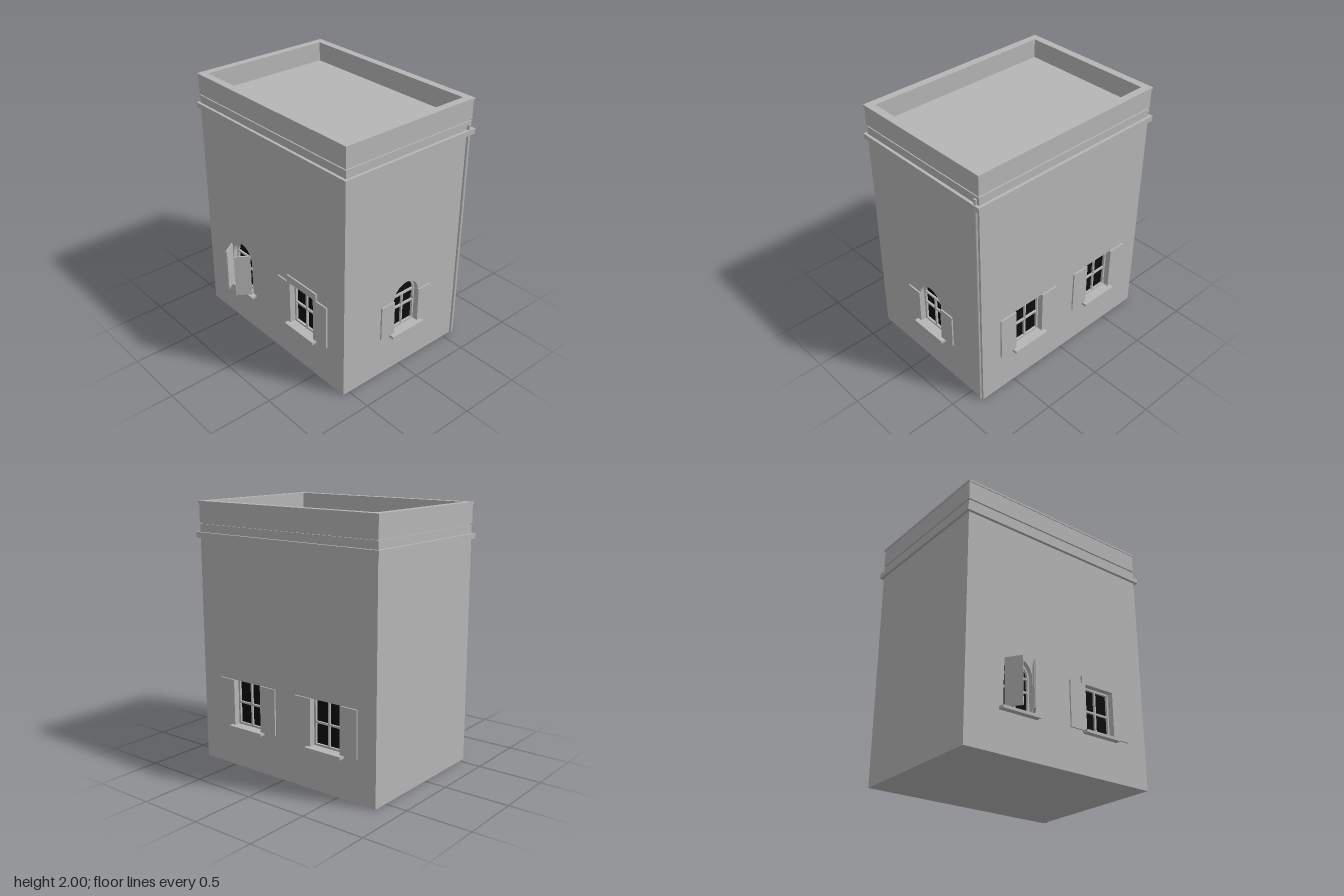
import * as THREE from 'three';

const stone = new THREE.MeshStandardMaterial({ color: 0xb6b6b6 });
stone.name = 'grey stone';
const dark = new THREE.MeshStandardMaterial({ color: 0x0d0d0d });
dark.name = 'dark glass';

// Building footprint and wall thickness
const X0 = -0.555, X1 = 0.62, Z0 = -0.825, Z1 = 0.805, T = 0.06;
const CX = (X0 + X1) / 2, CZ = (Z0 + Z1) / 2, W = X1 - X0, D = Z1 - Z0;
const SILL = 0.325, WALL_TOP = 1.83;

function mesh(parent, name, geometry, material = stone) {
  const m = new THREE.Mesh(geometry, material);
  m.name = name;
  parent.add(m);
  return m;
}

// Box given by its lower and upper corners
function box(parent, name, a, b, material) {
  const m = mesh(parent, name, new THREE.BoxGeometry(b[0] - a[0], b[1] - a[1], b[2] - a[2]), material);
  m.position.set((a[0] + b[0]) / 2, (a[1] + b[1]) / 2, (a[2] + b[2]) / 2);
  return m;
}

function rectangle(target, x0, y0, x1, y1) {
  return target.moveTo(x0, y0).lineTo(x1, y0).lineTo(x1, y1).lineTo(x0, y1).closePath();
}

// Window outline, either square headed or with a round arch
function outline(target, w, inset = 0) {
  const h = w.half - inset, y0 = SILL + inset;
  if (!w.arch) return rectangle(target, w.u - h, y0, w.u + h, w.top - inset);
  target.moveTo(w.u - h, y0).lineTo(w.u + h, y0).lineTo(w.u + h, w.top);
  target.absarc(w.u, w.top, h, 0, Math.PI, false);
  return target.closePath();
}

function extrude(shape, depth) {
  return new THREE.ExtrudeGeometry(shape, { depth, bevelEnabled: false, curveSegments: 14 });
}

// One window in wall space: u along the wall, y up, outer wall face at z = 0
function addWindow(wall, w) {
  const g = new THREE.Group();
  g.name = 'window';
  wall.add(g);
  mesh(g, 'pane', new THREE.ShapeGeometry(outline(new THREE.Shape(), w), 14), dark).position.z = -0.052;

  const ring = outline(new THREE.Shape(), w);
  ring.holes.push(outline(new THREE.Path(), w, 0.015));
  mesh(g, 'frame', extrude(ring, 0.018)).position.z = -0.052;

  // Glazing bars
  const crown = w.arch ? w.top + w.half : w.top;
  box(g, 'uprightBar', [w.u - 0.007, SILL, -0.052], [w.u + 0.007, w.arch ? w.top : crown, -0.036]);
  const bars = w.arch ? [0.5, w.top] : [0.5];
  for (const y of bars) box(g, 'crossBar', [w.u - w.half, y - 0.007, -0.052], [w.u + w.half, y + 0.007, -0.036]);

  box(g, 'sill', [w.u - 0.16, 0.303, -0.05], [w.u + 0.16, SILL, 0.046]);
  if (w.lintel) box(g, 'lintel', [w.u - 0.165, w.top, 0], [w.u + 0.165, 0.74, 0.012]);

  // Pair of shutters, folded flat or half closed
  for (const s of [-1, 1]) {
    const hinge = new THREE.Group();
    hinge.name = 'shutterHinge';
    hinge.position.set(w.u + s * w.half, 0, w.ajar ? 0.012 : 0.006);
    hinge.rotation.y = w.ajar ? s * (Math.PI + 0.97) : 0;
    const far = s * w.leaf;
    box(hinge, 'shutter', [Math.min(0, far), SILL, -0.006], [Math.max(0, far), w.shutterTop, 0.006]);
    g.add(hinge);
  }
}

// Wall with real openings, its outer face at local z = 0
function addWall(root, name, u0, u1, windows, position, turn) {
  const wall = new THREE.Group();
  wall.name = name;
  const shape = rectangle(new THREE.Shape(), u0, 0, u1, WALL_TOP);
  for (const w of windows) shape.holes.push(outline(new THREE.Path(), w));
  mesh(wall, name + 'Panel', extrude(shape, T)).position.z = -T;
  for (const w of windows) addWindow(wall, w);
  wall.position.set(...position);
  wall.rotation.y = turn;
  root.add(wall);
}

// Rectangular ring around the building; out and inn are offsets from the wall face
function addRing(root, name, y0, y1, out, inn) {
  const s = rectangle(new THREE.Shape(), X0 - out, -Z1 - out, X1 + out, -Z0 + out);
  s.holes.push(rectangle(new THREE.Path(), X0 + inn, -Z1 + inn, X1 - inn, -Z0 - inn));
  const m = mesh(root, name, extrude(s, y1 - y0));
  m.rotation.x = -Math.PI / 2;
  m.position.y = y0;
}

export function createModel() {
  const root = new THREE.Group();
  root.name = 'townHouse';

  const square = { half: 0.132, top: 0.68, shutterTop: 0.68, leaf: 0.145 };
  const arched = { half: 0.122, top: 0.6, shutterTop: 0.605, leaf: 0.128, arch: true };

  // Four walls
  addWall(root, 'frontWall', X0, X1, [{ ...arched, u: 0.05 }], [0, 0, Z1], 0);
  addWall(root, 'backWall', -X1, -X0, [], [0, 0, Z0], Math.PI);
  addWall(root, 'rightSideWall', -Z1 + T, -Z0 - T,
    [{ ...square, u: -0.353 }, { ...square, u: 0.392 }], [X1, 0, 0], Math.PI / 2);
  addWall(root, 'leftSideWall', Z0 + T, Z1 - T,
    [{ ...arched, u: -0.388, ajar: true, shutterTop: 0.68 }, { ...square, u: 0.35, lintel: true }],
    [X0, 0, 0], -Math.PI / 2);

  // Floor and flat roof, the roof edge forming a shadow groove
  box(root, 'floor', [X0 + T, 0, Z0 + T], [X1 - T, 0.02, Z1 - T]);
  const roof = mesh(root, 'roof', new THREE.BoxGeometry(W - 0.02, 0.025, D - 0.02));
  roof.position.set(CX, 1.832, CZ);

  // Cornice band, parapet and coping
  addRing(root, 'corniceBand', 1.73, 1.77, 0.022, 0.01);
  addRing(root, 'parapet', 1.841, 1.988, 0.002, 0.045);
  addRing(root, 'coping', 1.985, 2, 0.008, 0.052);

  // Drainpipe on the front corner
  const pipe = mesh(root, 'drainpipe', new THREE.CylinderGeometry(0.013, 0.013, 1.81, 12));
  pipe.position.set(0.59, 0.905, Z1 + 0.003);

  return root;
}
